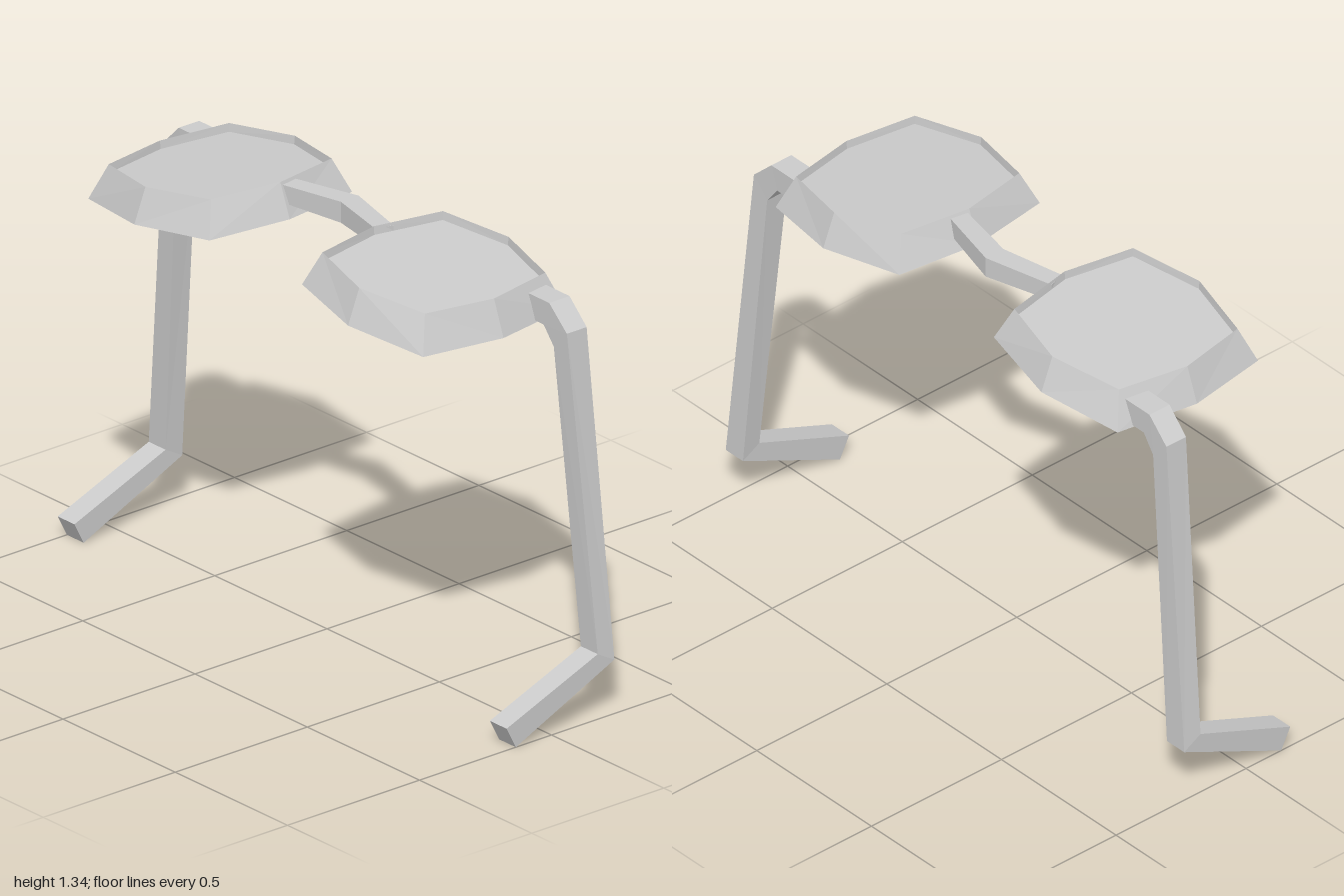
import * as THREE from 'three';

const material = new THREE.MeshStandardMaterial({ color: 0xcccccc, flatShading: true });

// Skins a series of equal-sized rings; either capped at both ends or wrapped into a loop.
function loft(name, rings, wrap = false) {
  const n = rings[0].length;
  const tris = [];
  const last = wrap ? rings.length : rings.length - 1;
  for (let i = 0; i < last; i++) {
    const a = rings[i], b = rings[(i + 1) % rings.length];
    for (let j = 0; j < n; j++) {
      const k = (j + 1) % n;
      tris.push([a[j], a[k], b[k]], [a[j], b[k], b[j]]);
    }
  }
  if (!wrap) {
    const a = rings[0], b = rings[rings.length - 1];
    for (let j = 1; j < n - 1; j++) tris.push([a[0], a[j + 1], a[j]], [b[0], b[j], b[j + 1]]);
  }
  // The signed volume tells whether the faces point outward.
  let volume = 0;
  for (const [a, b, c] of tris) volume += a.dot(b.clone().cross(c));
  if (volume < 0) tris.forEach((t) => t.reverse());
  const geometry = new THREE.BufferGeometry().setFromPoints(tris.flat());
  geometry.computeVertexNormals();
  const mesh = new THREE.Mesh(geometry, material);
  mesh.name = name;
  return mesh;
}

// Eight-sided outline, inset by s and raised by h, on the tilted plane of one lens.
function outline(side, s, h) {
  const rx = 0.31 - s, rz = 0.325 - s, cx = 0.27 - s, cz = 0.27 - s;
  const pts = [[0, -rz], [cx, -cz], [rx, 0], [cx, cz], [0, rz], [-cx, cz], [-rx, 0], [-cx, -cz]];
  return pts.map(([x, z]) => new THREE.Vector3(side * (0.476 + x), 1.207 + h - 0.09 * x, z));
}

// Four corners of a temple arm: outer and inner edge in x/y, front and back z, back edge shifted by dy.
function armSection(side, [xo, yo], [xi, yi], zf, zb, dy = 0) {
  return [[xo, yo, zf], [xo, yo + dy, zb], [xi, yi + dy, zb], [xi, yi, zf]]
    .map(([x, y, z]) => new THREE.Vector3(side * x, y, z));
}

export function createModel() {
  const model = new THREE.Group();
  model.name = 'glasses';

  for (const side of [1, -1]) {
    const label = side > 0 ? 'left' : 'right';

    // Sloping rim with a recessed lens
    const profile = [[0, 0], [0.042, 0.107], [0.045, 0.08], [0.065, 0.07], [0.065, 0]];
    model.add(loft(label + 'Rim', profile.map(([s, h]) => outline(side, s, h)), true));
    model.add(loft(label + 'Lens', [outline(side, 0.064, 0.068), outline(side, 0.044, 0.081)]));

    // Hinge, temple arm and bent ear piece
    model.add(loft(label + 'Temple', [
      armSection(side, [0.72, 1.263], [0.72, 1.187], -0.14, -0.217),
      armSection(side, [0.825, 1.263], [0.8, 1.187], -0.14, -0.217),
      armSection(side, [0.9, 1.19], [0.842, 1.13], -0.143, -0.218),
      armSection(side, [1.0, 0.205], [0.925, 0.205], -0.175, -0.238, -0.035),
      armSection(side, [1.0, 0.068], [0.925, 0.068], 0.17, 0.135, -0.068),
    ]));
  }

  // Nose bridge, bent at the middle
  model.add(loft('bridge', [[-0.215, 1.3, -0.035], [0, 1.298, -0.086], [0.215, 1.3, -0.035]].map(([x, y, z]) => {
    const skew = -Math.sign(x) * 0.007;
    return [[-1, -1], [1, -1], [1, 1], [-1, 1]].map(([v, w]) =>
      new THREE.Vector3(x + skew * w, y + v * (x ? 0.028 : 0.033), z + w * (x ? 0.028 : 0.034)));
  })));

  return model;
}
